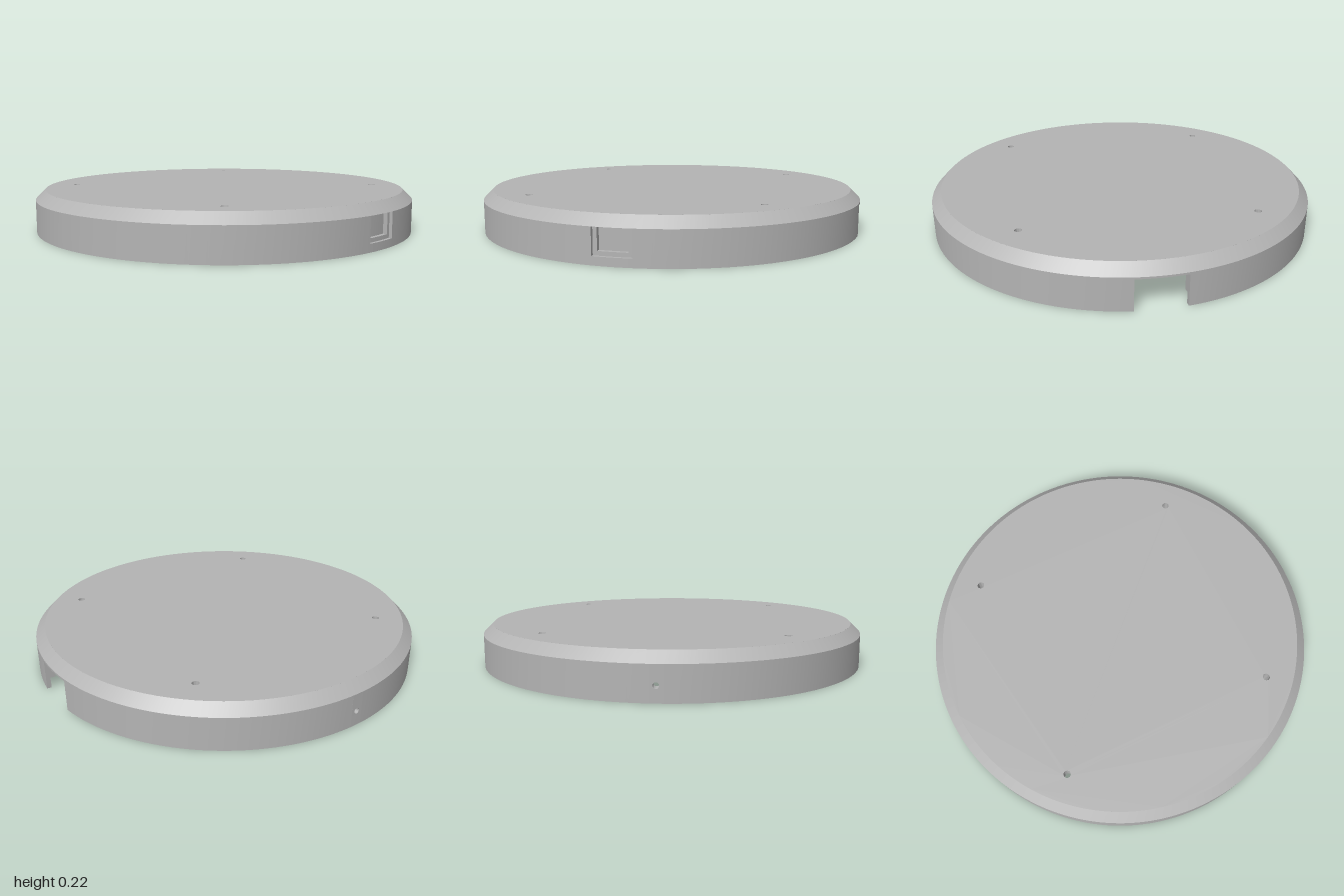
import * as THREE from 'three';
import { toCreasedNormals } from 'three/addons/utils/BufferGeometryUtils.js';

const TOP = 0.215, SHOULDER = 0.165, GROOVE = 0.19, LEDGE = 0.055;
const R = 1, R_TOP = 0.95, R_IN = 0.953, R_LIP = 0.978;
const SCREW = 0.574, SCREW_R = 0.018;

// Sweep a counter-clockwise (radius, y) profile around y between two angles; angle 0 is +z, PI/2 is +x
function sweep(profile, from, to) {
  const full = to - from > Math.PI * 2 - 1e-6;
  const steps = Math.max(2, Math.ceil((to - from) / (Math.PI * 2) * 144));
  const pos = [];
  const put = ([r, y], a) => pos.push(r * Math.sin(a), y, r * Math.cos(a));
  for (let i = 0; i < steps; i++) {
    const a = from + (to - from) * i / steps;
    const b = from + (to - from) * (i + 1) / steps;
    profile.forEach((p, k) => {
      const q = profile[(k + 1) % profile.length];
      put(p, a); put(p, b); put(q, b);
      put(p, a); put(q, b); put(q, a);
    });
  }
  if (!full) {
    const contour = profile.map(([r, y]) => new THREE.Vector2(r, y));
    for (const [i, j, k] of THREE.ShapeUtils.triangulateShape(contour, [])) {
      [i, j, k].forEach(n => put(profile[n], from));
      [k, j, i].forEach(n => put(profile[n], to));
    }
  }
  const g = new THREE.BufferGeometry();
  g.setAttribute('position', new THREE.Float32BufferAttribute(pos, 3));
  return toCreasedNormals(g, 0.5);
}

// Horizontal disc with round holes [x, z, radius], between two heights
function plate(radius, holes, y0, y1, segments) {
  const shape = new THREE.Shape().absarc(0, 0, radius, 0, Math.PI * 2, false);
  for (const [x, z, r] of holes) {
    shape.holes.push(new THREE.Path().absarc(x, -z, r, 0, Math.PI * 2, true));
  }
  const g = new THREE.ExtrudeGeometry(shape, { depth: y1 - y0, bevelEnabled: false, curveSegments: segments });
  g.rotateX(-Math.PI / 2).translate(0, y0, 0);
  return toCreasedNormals(g, 0.5);
}

export function createModel() {
  const group = new THREE.Group();
  const grey = new THREE.MeshStandardMaterial({ color: 0xb4b4b4 });
  grey.name = 'plain grey';
  const add = (name, geometry, parent = group) => {
    const mesh = new THREE.Mesh(geometry, grey);
    mesh.name = name;
    parent.add(mesh);
    return mesh;
  };

  // Lid: top plate, underside ring and centre disc leave a round groove between them
  const corners = [[1, 1], [1, -1], [-1, -1], [-1, 1]].map(([x, z]) => [x * SCREW, z * SCREW]);
  const screwHoles = corners.map(([x, z]) => [x, z, SCREW_R]);
  add('topPlate', plate(R_TOP, screwHoles, GROOVE, TOP, 144));
  add('undersideRing', plate(R_IN - 0.003, [...screwHoles, [0, 0, 0.747]], SHOULDER, GROOVE, 144));
  add('undersideDisc', plate(0.645, [], SHOULDER, GROOVE, 144));
  add('chamfer', sweep([[R_TOP, SHOULDER], [R, SHOULDER], [R_TOP, TOP]], 0, Math.PI * 2));

  // Screw bosses
  for (const [x, z] of corners) {
    add('screwBoss', plate(0.054, [[0, 0, SCREW_R]], 0.12, SHOULDER, 32)).position.set(x, 0, z);
  }

  // Side wall profiles
  const inner = [[R_IN, SHOULDER], [R_IN, LEDGE], [R_LIP, LEDGE]];
  const foot = [[R_LIP, 0], [R, 0]];
  const wall = [...foot, [R, SHOULDER], ...inner];
  const keyed = [...foot, [R, SHOULDER], [R_IN, SHOULDER], [R_IN, 0.08], [R_LIP, 0.08]];
  const frame = [...foot, [R, 0.04], [0.985, 0.04], [0.985, SHOULDER], ...inner];
  const pocket = [...foot, [R, 0.04], [0.985, 0.04], [0.985, 0.06], [0.965, 0.06], [0.965, SHOULDER], ...inner];
  const lintel = [[R_IN, 0.155], [R, 0.155], [R, SHOULDER], [R_IN, SHOULDER]];
  const lip = [...foot, [R, LEDGE], [R_LIP, LEDGE]];

  // Wall sections in order around the rim, starting at the front
  const side = new THREE.Group();
  side.name = 'sideWall';
  group.add(side);
  const H = Math.PI / 2;
  const sections = [
    ['keySlot', keyed, -0.04, 0.04],
    ['wall', wall, 0.04, H - 0.09],
    ['recessFrame', frame, H - 0.09, H - 0.07],
    ['recessPocket', pocket, H - 0.07, H + 0.07],
    ['recessFrame', frame, H + 0.07, H + 0.09],
    ['wall', wall, H + 0.09, 2 * H - 0.12],
    ['notchLintel', lintel, 2 * H - 0.12, 2 * H + 0.12],
    ['wall', wall, 2 * H + 0.12, 3 * H - 0.03],
    ['lip', lip, 3 * H - 0.03, 3 * H + 0.03],
    ['wall', wall, 3 * H + 0.03, 4 * H - 0.04],
  ];
  for (const [name, profile, from, to] of sections) add(name, sweep(profile, from, to), side);

  // Small wall panel with a round pin hole
  const panel = new THREE.Shape([[-0.03, LEDGE], [0.03, LEDGE], [0.03, SHOULDER], [-0.03, SHOULDER]]
    .map(([x, y]) => new THREE.Vector2(x, y)));
  panel.holes.push(new THREE.Path().absarc(0, 0.075, 0.014, 0, Math.PI * 2, true));
  const panelGeometry = new THREE.ExtrudeGeometry(panel, { depth: R - R_IN, bevelEnabled: false, curveSegments: 24 });
  panelGeometry.translate(0, 0, R_IN - 0.0004).rotateY(-H);
  add('pinHolePanel', toCreasedNormals(panelGeometry, 0.5), side);

  return group;
}
